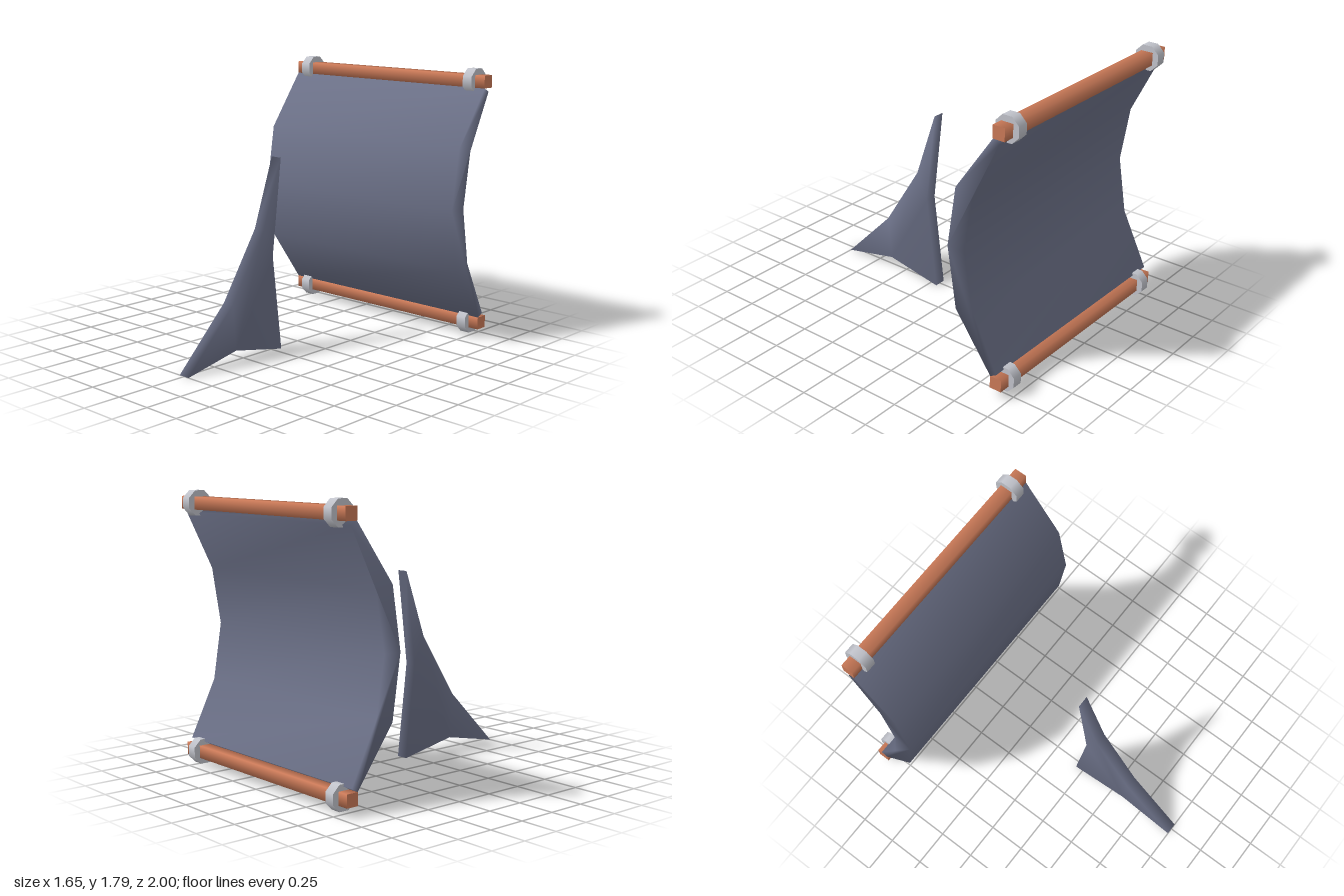
import * as THREE from 'three';
import { mergeVertices } from 'three/addons/utils/BufferGeometryUtils.js';

const steel = new THREE.MeshStandardMaterial({ name: 'slate metal', color: 0x6c7188 });
const copper = new THREE.MeshStandardMaterial({ name: 'copper', color: 0xcb7a58 });
const silver = new THREE.MeshStandardMaterial({ name: 'silver', color: 0xc2c4cc });

function add(parent, name, geometry, material, x = 0, y = 0, z = 0) {
  const mesh = new THREE.Mesh(geometry, material);
  mesh.name = name;
  mesh.position.set(x, y, z);
  parent.add(mesh);
}

// Side outline of [z, y] points, extruded along x, with normals blended over all edges
function slab(points, width) {
  const shape = new THREE.Shape(points.map(([z, y]) => new THREE.Vector2(z, y)));
  let g = new THREE.ExtrudeGeometry(shape, { depth: width, bevelEnabled: false });
  g.translate(0, 0, -width / 2).rotateY(-Math.PI / 2);
  g.deleteAttribute('normal');
  g.deleteAttribute('uv');
  g.clearGroups();
  g = mergeVertices(g, 1e-4);
  g.computeVertexNormals();
  return g;
}

// Regular prism along x, with flat sides facing up and forward
function bar(halfHeight, length, sides) {
  const r = halfHeight / Math.cos(Math.PI / sides);
  return new THREE.CylinderGeometry(r, r, length, sides, 1, false, Math.PI / sides)
    .rotateZ(Math.PI / 2);
}

export function createModel() {
  const model = new THREE.Group();
  model.name = 'curved panel and fin';

  // Bowed panel
  add(model, 'panel', slab([
    [-0.882, 1.67], [-0.62, 1.3], [-0.56, 0.905], [-0.62, 0.503], [-0.882, 0.139],
    [-0.925, 0.163], [-0.743, 0.535], [-0.683, 0.905], [-0.743, 1.275], [-0.925, 1.645],
  ], 1.65), steel);

  // Upright fin
  add(model, 'fin', slab([
    [1, 0], [0.6, 0.08], [0.195, 0], [0.27, 0.63], [0.195, 1.257], [0.35, 0.81], [0.625, 0.38],
  ], 0.08), steel);

  // Square rods with octagonal collars along both long edges
  for (const [level, y] of [['upper', 1.71], ['lower', 0.098]]) {
    add(model, level + 'Rod', bar(0.041, 1.65, 4), copper, 0, y, -0.92);
    for (const side of [-1, 1]) {
      add(model, level + (side > 0 ? 'Left' : 'Right') + 'Collar',
        bar(0.08, 0.07, 8), silver, side * 0.715, y, -0.92);
    }
  }
  return model;
}
